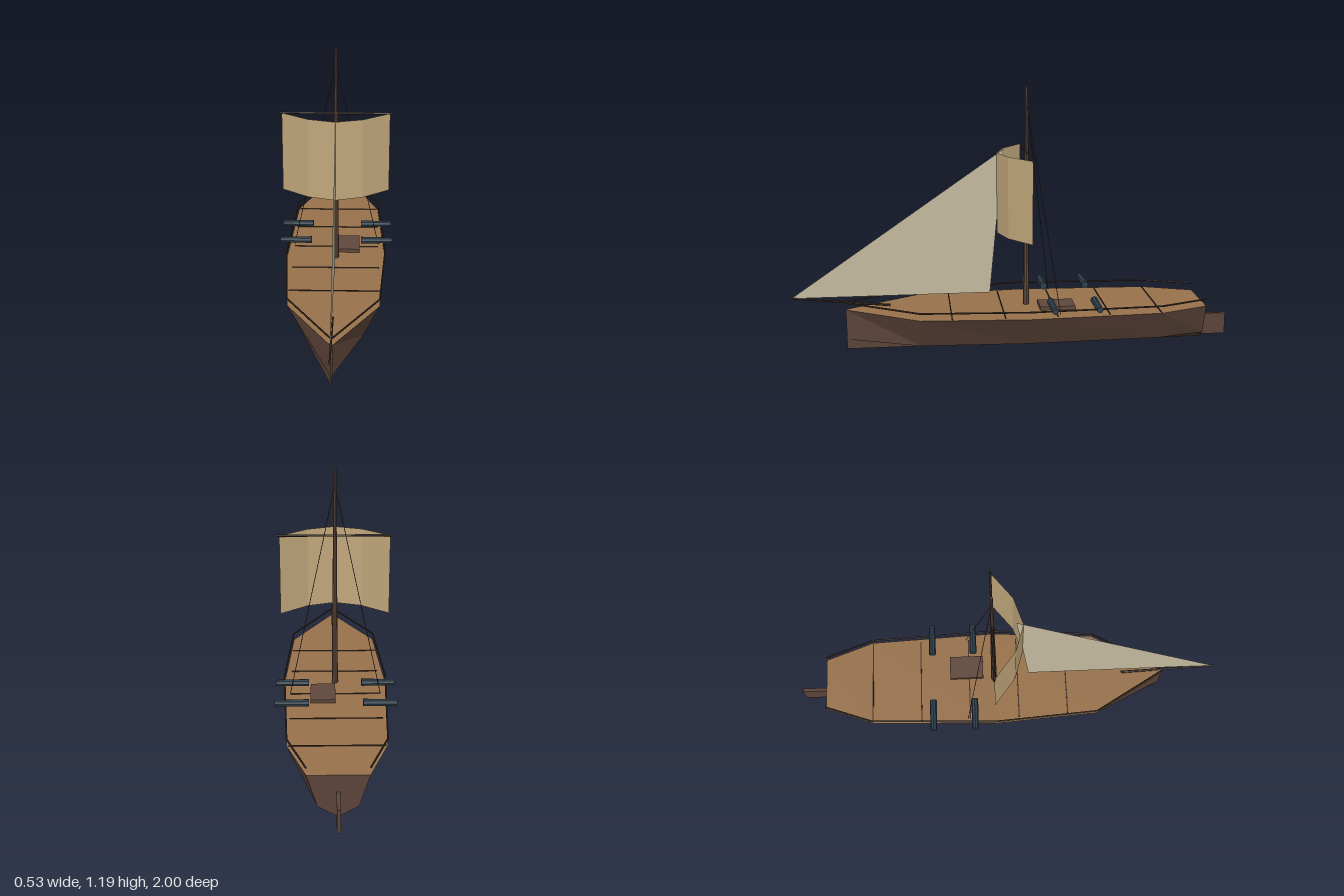
import * as THREE from 'three';

const mat = (name, color, double) => {
  const m = new THREE.MeshStandardMaterial({ color, flatShading: true });
  m.name = name;
  if (double) m.side = THREE.DoubleSide;
  return m;
};

export function createModel() {
  const ship = new THREE.Group();
  ship.name = 'sailingShip';

  const hullWood = mat('hullWood', 0x5a4338);
  const deckWood = mat('deckWood', 0x96704a);
  const mastWood = mat('mastWood', 0x5f483c);
  const darkWood = mat('darkWood', 0x3d2e23);
  const iron = mat('iron', 0x2d3f4c);
  const canvas = mat('canvas', 0xc2a87c, true);
  const paleCanvas = mat('paleCanvas', 0xc2b89c, true);

  const V = (x, y, z) => new THREE.Vector3(x, y, z);
  const add = (name, geometry, material, x = 0, y = 0, z = 0) => {
    const mesh = new THREE.Mesh(geometry, material);
    mesh.name = name;
    mesh.position.set(x, y, z);
    ship.add(mesh);
    return mesh;
  };
  // Tapered round bar between two points
  const bar = (name, a, b, ra, rb, material, sides = 8) => {
    const dir = b.clone().sub(a);
    const mesh = add(name, new THREE.CylinderGeometry(rb, ra, dir.length(), sides), material);
    mesh.position.copy(a).add(b).multiplyScalar(0.5);
    mesh.quaternion.setFromUnitVectors(V(0, 1, 0), dir.normalize());
    return mesh;
  };
  const fromTriangles = (points) => {
    const g = new THREE.BufferGeometry().setFromPoints(points);
    g.computeVertexNormals();
    return g;
  };

  // Hull: V-bottomed sections from bow to stern, as [z, half width]
  const deckY = 0.19;
  const mastZ = -0.058;
  const stations = [[0.76, 0.005], [0.43, 0.197], [mastZ, 0.23], [-0.648, 0.205], [-0.872, 0.125]];
  const sections = stations.map(([z, w]) => [
    V(-w, deckY, z), V(-w * 0.65, 0.05, z), V(0, 0.003, z), V(w * 0.65, 0.05, z), V(w, deckY, z),
  ]);
  const hull = [];
  const deck = [];
  for (let i = 0; i < sections.length - 1; i++) {
    const f = sections[i];
    const b = sections[i + 1];
    for (let k = 0; k < 5; k++) {
      const n = (k + 1) % 5;
      (k === 4 ? deck : hull).push(f[k], b[k], f[n], b[k], b[n], f[n]);
    }
  }
  const bow = sections[0];
  const stern = sections[sections.length - 1];
  for (let k = 1; k < 4; k++) {
    hull.push(bow[0], bow[k], bow[k + 1], stern[0], stern[k + 1], stern[k]);
  }
  add('hull', fromTriangles(hull), hullWood);
  add('deck', fromTriangles(deck), deckWood);

  // Seams across the deck
  for (let i = 0; i < 5; i++) {
    add('deckSeam', new THREE.BoxGeometry(0.4, 0.004, 0.005), darkWood, 0, deckY + 0.001, 0.29 - i * 0.234);
  }

  // Hatch and rudder
  add('hatch', new THREE.BoxGeometry(0.11, 0.016, 0.16), mastWood, 0.055, 0.199, -0.19);
  add('rudder', new THREE.BoxGeometry(0.016, 0.1, 0.13), hullWood, 0, 0.064, -0.935);

  // Rails, shrouds and guns on both sides
  for (const s of [-1, 1]) {
    for (let i = 0; i < stations.length - 1; i++) {
      const [z0, w0] = stations[i];
      const [z1, w1] = stations[i + 1];
      bar('rail', V(s * w0, 0.223, z0), V(s * w1, 0.223, z1), 0.004, 0.004, darkWood, 6);
    }
    bar('shroud', V(s * 0.2, 0.2, -0.188), V(0, 1.12, mastZ), 0.0015, 0.0015, darkWood, 4);
    for (const z of [-0.155, -0.353]) {
      bar('cannon', V(s * 0.117, 0.235, z), V(s * 0.265, 0.235, z), 0.017, 0.0145, iron);
    }
  }

  // Mast, yard and bowsprit
  bar('mast', V(0, deckY, mastZ), V(0, 1.19, mastZ), 0.014, 0.006, mastWood);
  bar('yard', V(-0.25, 0.895, mastZ), V(0.25, 0.895, mastZ), 0.005, 0.005, darkWood, 6);
  bar('bowsprit', V(0, 0.205, 0.56), V(0, 0.25, 1), 0.006, 0.004, darkWood, 6);

  // Square sail, bellied forward
  const sail = new THREE.PlaneGeometry(0.484, 0.365, 4, 1);
  const p = sail.attributes.position;
  for (let i = 0; i < p.count; i++) {
    p.setZ(i, 0.133 * Math.cos((p.getX(i) / 0.242) * Math.PI / 2));
  }
  sail.computeVertexNormals();
  add('mainSail', sail, canvas, 0, 0.7125, mastZ);

  // Triangular headsail
  add('headSail', fromTriangles([V(0, 0.25, 1), V(0, 0.25, 0.108), V(0, 0.91, 0.045)]), paleCanvas);

  return ship;
}
